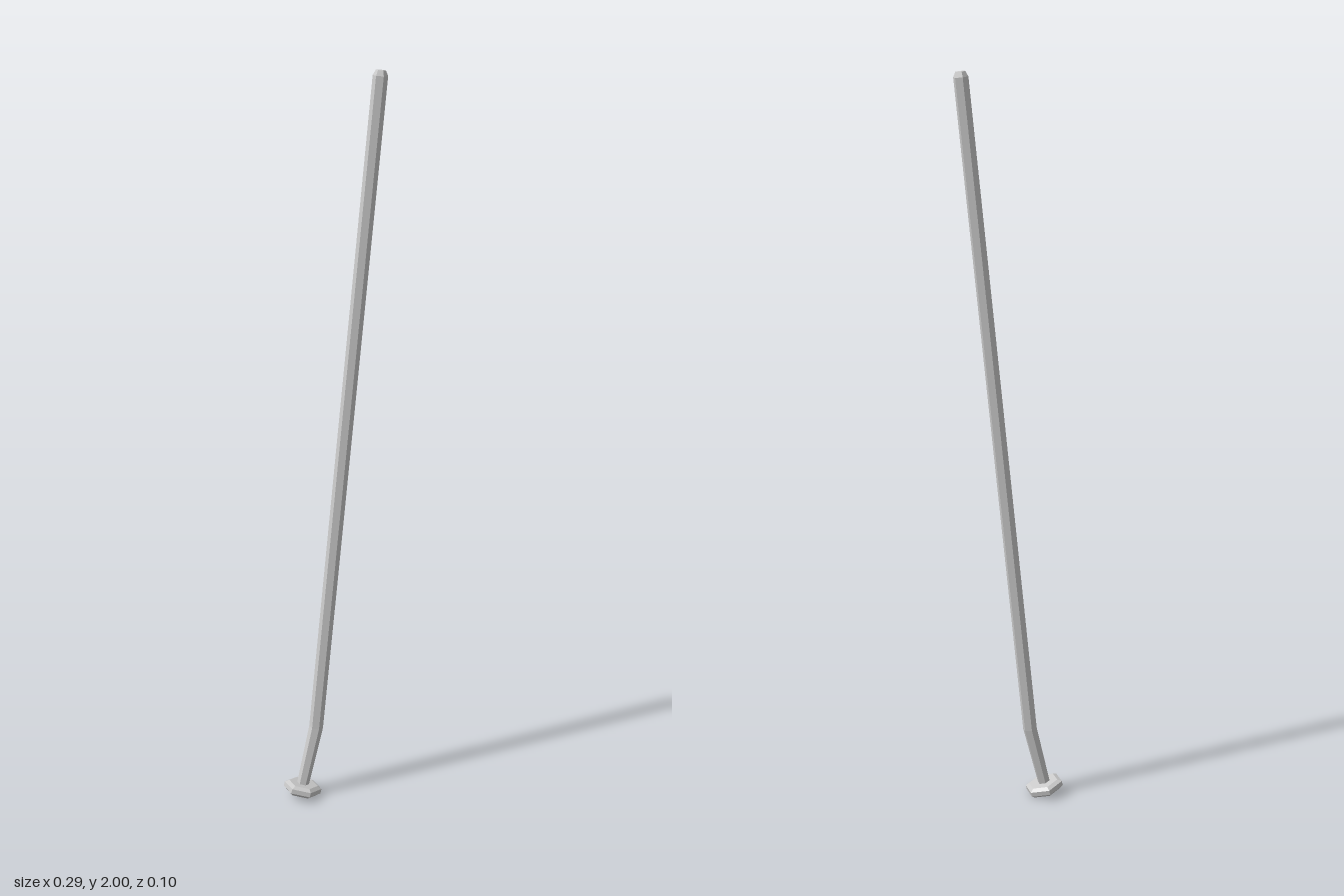
import * as THREE from 'three';

const SIDES = 6;
const STRETCH = 1.1; // hexagons are slightly wider along x

// Skin hexagonal rings, each given as [x, y, lean, radius], from bottom to top
function loft(rings) {
  const pos = [];
  const idx = [];
  const place = (x, y, lean, r) => {
    for (let k = 0; k < SIDES; k++) {
      const t = (k / SIDES) * Math.PI * 2;
      const u = Math.sin(t) * r * STRETCH;
      pos.push(x + u * Math.cos(lean), y - u * Math.sin(lean), Math.cos(t) * r);
    }
  };
  rings.forEach(ring => place(...ring));
  for (let i = 0; i < rings.length - 1; i++) {
    for (let k = 0; k < SIDES; k++) {
      const a = i * SIDES + k;
      const b = i * SIDES + (k + 1) % SIDES;
      idx.push(a, b, b + SIDES, a, b + SIDES, a + SIDES);
    }
  }
  // end caps
  const top = (rings.length - 1) * SIDES;
  for (let k = 1; k < SIDES - 1; k++) {
    idx.push(0, k + 1, k, top, top + k, top + k + 1);
  }
  const geo = new THREE.BufferGeometry();
  geo.setAttribute('position', new THREE.Float32BufferAttribute(pos, 3));
  geo.setIndex(idx);
  const flat = geo.toNonIndexed();
  flat.computeVertexNormals();
  return flat;
}

export function createModel() {
  const group = new THREE.Group();
  group.name = 'bentRod';
  const material = new THREE.MeshStandardMaterial({ color: 0xcccccc, flatShading: true });
  const add = (name, rings) => {
    const mesh = new THREE.Mesh(loft(rings), material);
    mesh.name = name;
    group.add(mesh);
  };

  const lowLean = 0.25;
  const highLean = 0.103;

  // Long shaft with a bend near the bottom and a chamfered tip
  add('shaft', [
    [-0.1, 0.026, lowLean, 0.0155],
    [-0.056, 0.205, (lowLean + highLean) / 2, 0.018],
    [0.129, 1.985, highLean, 0.018],
    [0.1303, 1.9985, highLean, 0.012],
  ]);

  // Bevelled hexagonal foot, square to the lower part of the shaft
  const profile = [[-0.014, 0.04], [-0.006, 0.049], [0.007, 0.049], [0.014, 0.038]];
  add('foot', profile.map(([h, r]) => [
    -0.099 + h * Math.sin(lowLean), 0.0235 + h * Math.cos(lowLean), lowLean, r,
  ]));

  return group;
}
